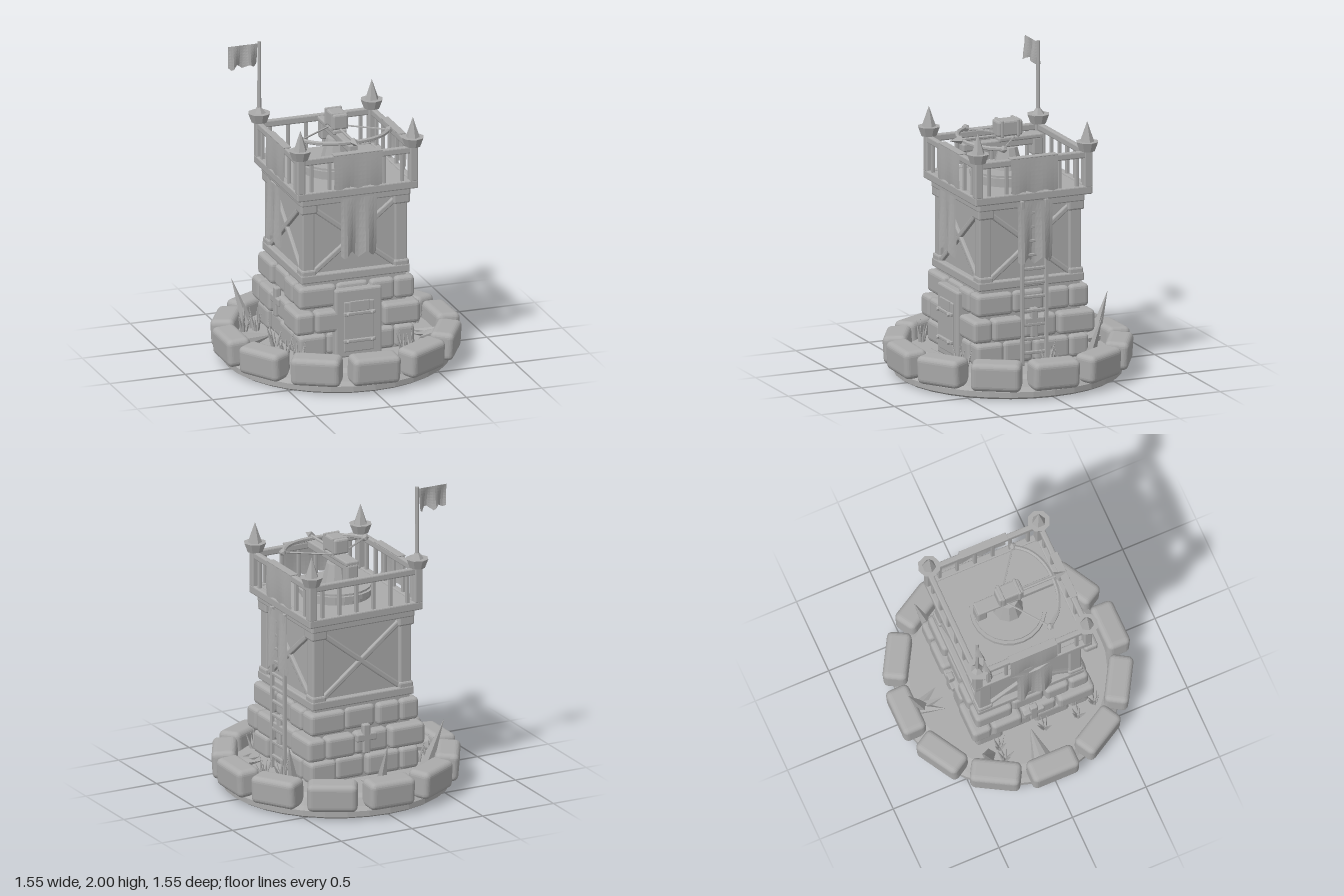
import * as THREE from 'three';
import { RoundedBoxGeometry } from 'three/addons/geometries/RoundedBoxGeometry.js';

export function createModel() {
  const model = new THREE.Group();
  const grey = new THREE.MeshStandardMaterial({ color: 0xaaaaaa, side: THREE.DoubleSide, flatShading: true });
  grey.name = 'plain grey';

  const add = (parent, name, geo, x = 0, y = 0, z = 0) => {
    const m = new THREE.Mesh(geo, grey);
    m.name = name;
    m.position.set(x, y, z);
    parent.add(m);
    return m;
  };
  const group = (name, parent = model, turn = 0) => {
    const g = new THREE.Group();
    g.name = name;
    g.rotation.y = turn;
    parent.add(g);
    return g;
  };
  // Bevelled block given by size and centre
  const block = (parent, name, w, h, d, x, y, z, r = 0.008, seg = 1) =>
    add(parent, name, new RoundedBoxGeometry(w, h, d, seg, r), x, y, z);
  // Tapered rod between two points
  const rod = (parent, name, a, b, r0, r1, sides = 6) => {
    const p = new THREE.Vector3(...a), q = new THREE.Vector3(...b), dir = q.clone().sub(p);
    const m = add(parent, name, new THREE.CylinderGeometry(r1, r0, dir.length(), sides));
    m.position.copy(p).add(q).multiplyScalar(0.5);
    m.quaternion.setFromUnitVectors(new THREE.Vector3(0, 1, 0), dir.normalize());
    return m;
  };
  // Hanging cloth with folds and a ragged lower edge
  const cloth = (parent, name, w, h, x, y, z, fold, bulge, rag) => {
    const geo = new THREE.PlaneGeometry(w, h, 12, 8), p = geo.attributes.position;
    for (let i = 0; i < p.count; i++) {
      const u = p.getX(i) / w + 0.5, v = 0.5 - p.getY(i) / h;
      const edge = Math.abs(((u * 2.5 + 0.25) % 1) - 0.5) * 2;
      p.setY(i, p.getY(i) + rag * edge * Math.pow(v, 4));
      p.setZ(i, bulge * Math.sin(v * 2.6) + fold * v * Math.sin(u * 11));
    }
    geo.computeVertexNormals();
    return add(parent, name, geo, x, y, z);
  };
  let seed = 7;
  const rand = () => ((seed = (seed * 16807) % 2147483647) / 2147483647);

  // Round ground mound
  const profile = [[0, 0], [0.69, 0], [0.715, 0.015], [0.715, 0.05], [0.69, 0.075], [0.66, 0.12], [0.62, 0.14], [0, 0.14]];
  add(model, 'ground', new THREE.LatheGeometry(profile.map(p => new THREE.Vector2(...p)), 32));

  // Ring of boulders
  const ring = group('boulderRing');
  for (let i = 0; i < 12; i++) {
    const g = group('boulder', ring, i * Math.PI / 6);
    const s = block(g, 'boulderStone', 0.315, 0.18, 0.155, 0, 0.152, 0.692, 0.035, 3);
    s.rotation.x = 0.06;
    s.rotation.z = (rand() - 0.5) * 0.05;
  }

  // Stone lower storey: pinwheel courses of bricks around a core
  const stone = group('stoneStorey');
  block(stone, 'stoneCore', 0.68, 0.52, 0.68, 0, 0.39, 0);
  const splits = [[0.3, 0.62], [0.36, 0.7], [0.4, 0.74]];
  for (let row = 0; row < 3; row++) {
    const half = row === 1 ? 0.415 : 0.385, depth = 0.13, len = 2 * half - depth;
    const cuts = [0, ...splits[row], 1];
    for (let side = 0; side < 4; side++) {
      const g = group('course', stone, side * Math.PI / 2);
      for (let k = 0; k < 3; k++) {
        const flip = row === 1 ? -1 : 1, inset = k === 1 ? 0.02 : 0;
        const x = (-half + len * (cuts[k] + cuts[k + 1]) / 2) * flip;
        block(g, 'brick', len * (cuts[k + 1] - cuts[k]) - 0.006, 0.143, depth, x, 0.222 + row * 0.16, half - depth / 2 - inset, 0.026, 2);
      }
    }
  }

  // Cross slits on the three doorless sides
  for (let side = 1; side < 4; side++) {
    const g = group('crossSlit', model, side * Math.PI / 2);
    block(g, 'slitUpright', 0.05, 0.19, 0.04, 0, 0.41, 0.392);
    block(g, 'slitBar', 0.14, 0.05, 0.04, 0, 0.42, 0.392);
  }

  // Door with frame, straps and step
  const door = group('door');
  block(door, 'doorFrame', 0.31, 0.45, 0.1, 0, 0.36, 0.365, 0.012);
  block(door, 'doorLeaf', 0.2, 0.33, 0.02, 0, 0.34, 0.415, 0.006);
  for (const y of [0.25, 0.43]) {
    block(door, 'doorStrap', 0.21, 0.022, 0.02, 0, y, 0.43, 0.005);
    for (const x of [-0.08, 0.08]) add(door, 'rivet', new THREE.IcosahedronGeometry(0.014), x, y, 0.443);
  }
  block(door, 'doorWindow', 0.13, 0.07, 0.012, 0, 0.475, 0.425, 0.004);
  block(door, 'doorStep', 0.16, 0.07, 0.09, 0, 0.155, 0.535, 0.015);

  // Timber middle storey
  const timber = group('timberStorey');
  block(timber, 'timberWalls', 0.64, 0.56, 0.64, 0, 0.91, 0);
  for (let side = 0; side < 4; side++) {
    const g = group('timberFace', timber, side * Math.PI / 2);
    block(g, 'cornerPost', 0.08, 0.54, 0.08, 0.307, 0.91, 0.307);
    block(g, 'postFoot', 0.1, 0.08, 0.1, 0.307, 0.68, 0.307, 0.012);
    block(g, 'postHead', 0.11, 0.07, 0.11, 0.307, 1.125, 0.307, 0.012);
    block(g, 'lowerBeam', 0.72, 0.055, 0.06, 0, 0.66, 0.33);
    block(g, 'upperBeam', 0.72, 0.05, 0.06, 0, 1.17, 0.335);
    for (const s of [-1, 1]) {
      const brace = block(g, 'crossBrace', 0.7, 0.035, 0.03, 0, 0.905, 0.326);
      brace.rotation.z = s * 0.665;
    }
  }

  // Platform with railing
  const platform = group('platform');
  block(platform, 'deck', 0.76, 0.04, 0.76, 0, 1.22, 0);
  for (let side = 0; side < 4; side++) {
    const g = group('railingSide', platform, side * Math.PI / 2);
    block(g, 'edgeBeam', 0.8, 0.055, 0.045, 0, 1.222, 0.378);
    block(g, 'handRail', 0.76, 0.045, 0.035, 0, 1.45, 0.378);
    block(g, 'railPost', 0.055, 0.24, 0.055, 0.373, 1.36, 0.373);
    for (const x of [-0.3, -0.18, -0.06, 0.06, 0.18, 0.3]) block(g, 'baluster', 0.022, 0.2, 0.022, x, 1.34, 0.378, 0.004);
    add(g, 'finialCup', new THREE.CylinderGeometry(0.073, 0.05, 0.06, 8), 0.373, 1.5, 0.373);
    const tall = side !== 2;
    add(g, 'finialSpike', new THREE.ConeGeometry(0.046, tall ? 0.135 : 0.06, 6), 0.373, tall ? 1.593 : 1.555, 0.373);
  }

  // Cloths on front, left and right
  for (const side of [-1, 0, 1]) {
    const g = group('hangings', model, side * Math.PI / 2);
    cloth(g, 'railCloth', 0.32, 0.23, 0, 1.36, 0.402, 0.004, 0.006, 0.02);
    block(g, 'railClothTop', 0.32, 0.008, 0.05, 0, 1.476, 0.38, 0.002);
    cloth(g, 'banner', 0.24, 0.4, 0, 0.99, 0.413, 0.02, 0.008, 0.05);
  }

  // Ladder on the left side
  const ladder = group('ladder');
  for (const z of [-0.08, 0.085]) block(ladder, 'ladderRail', 0.024, 1.06, 0.024, 0.405, 0.67, z, 0.004);
  for (let i = 0; i < 11; i++) block(ladder, 'rung', 0.018, 0.02, 0.17, 0.405, 0.22 + i * 0.09, 0.002, 0.004);

  // Turntable and mounted bow
  const bow = group('mountedBow');
  add(bow, 'turntable', new THREE.CylinderGeometry(0.24, 0.24, 0.03, 24), 0, 1.285, 0);
  add(bow, 'turntableTop', new THREE.CylinderGeometry(0.22, 0.22, 0.075, 24), 0, 1.275, 0);
  add(bow, 'pedestal', new THREE.CylinderGeometry(0.06, 0.1, 0.15, 10), 0, 1.375, 0);
  block(bow, 'stock', 0.06, 0.05, 0.54, 0, 1.475, 0.05);
  block(bow, 'stockRear', 0.08, 0.12, 0.07, 0, 1.44, -0.19, 0.012);
  block(bow, 'stockTop', 0.09, 0.03, 0.3, 0, 1.505, -0.07);
  block(bow, 'magazine', 0.1, 0.1, 0.17, 0, 1.575, 0.005, 0.012);
  for (const z of [-0.05, 0.06]) block(bow, 'magazineBand', 0.112, 0.112, 0.02, 0, 1.575, z, 0.006);
  const arc = new THREE.CatmullRomCurve3([[-0.29, 0.16], [-0.22, 0.24], [-0.12, 0.29], [0, 0.305], [0.12, 0.29], [0.22, 0.24], [0.29, 0.16]]
    .map(([x, z]) => new THREE.Vector3(x, 1.515, z)));
  add(bow, 'bowArms', new THREE.TubeGeometry(arc, 24, 0.014, 6));
  for (const s of [-1, 1]) {
    rod(bow, 'bowString', [s * 0.29, 1.515, 0.16], [s * 0.03, 1.515, -0.03], 0.006, 0.006, 5);
    add(bow, 'bowTip', new THREE.IcosahedronGeometry(0.026), s * 0.29, 1.515, 0.16);
  }
  rod(bow, 'boltShaft', [0, 1.525, -0.05], [0, 1.525, 0.34], 0.01, 0.01);
  rod(bow, 'boltHead', [0, 1.525, 0.32], [0, 1.525, 0.4], 0.028, 0, 4);

  // Flag on the rear right corner
  const flag = group('flag');
  rod(flag, 'flagPole', [-0.373, 1.5, -0.373], [-0.373, 2, -0.373], 0.014, 0.012, 8);
  cloth(flag, 'flagCloth', 0.195, 0.155, -0.482, 1.91, -0.375, 0.025, 0.005, 0.03);

  // Tall thorns leaning outward
  const plants = group('plants');
  for (const [a, b] of [
    [[0.47, 0.13, -0.33], [0.55, 0.45, -0.4]],
    [[0, 0.13, -0.58], [0, 0.45, -0.68]],
    [[-0.46, 0.13, -0.33], [-0.55, 0.45, -0.4]],
  ]) rod(plants, 'thorn', a, b, 0.045, 0, 5);

  // Low leaves lying on the ground
  for (const [x, z, angle] of [[0, -0.62, 0], [0.6, 0.22, -Math.PI / 2]]) {
    for (const k of [-0.45, 0, 0.45]) {
      const t = angle + k;
      rod(plants, 'leaf', [x, 0.15, z], [x + Math.sin(t) * 0.18, 0.17, z + Math.cos(t) * 0.18], 0.045, 0, 5);
    }
  }
  rod(plants, 'rootHorn', [-0.64, 0.15, -0.04], [-0.42, 0.18, -0.03], 0.075, 0.005, 10);

  // Grass tufts
  for (const [x, z] of [[-0.52, -0.25], [-0.44, -0.25], [-0.44, 0.28], [-0.4, 0.41], [0.28, 0.46], [0.34, 0.45], [0.54, -0.05], [0.43, -0.07], [-0.43, 0.06]]) {
    const tuft = group('grassTuft', plants);
    for (let i = 0; i < 6; i++) {
      const t = i * 1.05 + rand(), spread = 0.03 + rand() * 0.035;
      rod(tuft, 'grassBlade', [x + Math.sin(t) * 0.01, 0.13, z + Math.cos(t) * 0.01],
        [x + Math.sin(t) * spread, 0.23 + rand() * 0.07, z + Math.cos(t) * spread], 0.013, 0, 4);
    }
  }
  return model;
}
